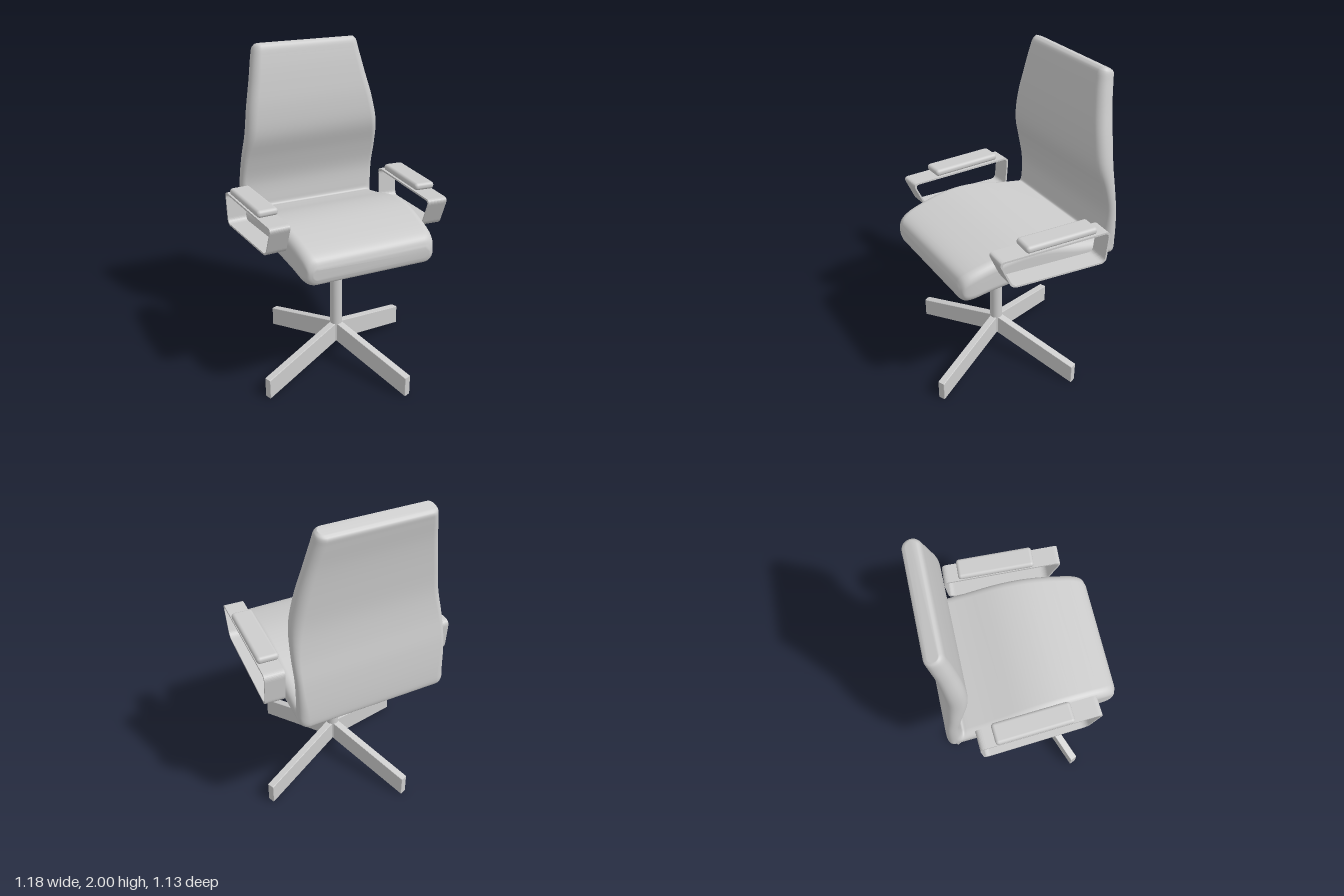
import * as THREE from 'three';
import { RoundedBoxGeometry } from 'three/addons/geometries/RoundedBoxGeometry.js';

const material = new THREE.MeshStandardMaterial({ color: 0xcccccc });

function part(name, geometry, parent) {
  const mesh = new THREE.Mesh(geometry, material);
  mesh.name = name;
  parent.add(mesh);
  return mesh;
}

// Upholstery stations from seat front to back top:
// underside/rear (z, y), sitting side (z, y), half width, sideways shift
const stations = [
  [0.488, 0.885, 0.49, 0.945, 0.36, 0],
  [0.475, 0.85, 0.472, 0.99, 0.39, 0],
  [0.44, 0.839, 0.43, 1.02, 0.405, 0],
  [0.3, 0.855, 0.3, 1.055, 0.42, 0],
  [0.11, 0.868, 0.11, 1.077, 0.435, 0],
  [-0.07, 0.868, -0.07, 1.06, 0.445, 0],
  [-0.28, 0.855, -0.28, 1.0, 0.455, 0],
  [-0.5, 0.838, -0.43, 0.962, 0.46, 0],
  [-0.54, 0.836, -0.455, 0.956, 0.462, 0],
  [-0.556, 0.85, -0.463, 0.966, 0.462, 0],
  [-0.56, 0.92, -0.467, 1.0, 0.462, 0.003],
  [-0.542, 1.13, -0.472, 1.13, 0.462, 0.005],
  [-0.515, 1.29, -0.435, 1.29, 0.46, 0.012],
  [-0.5, 1.45, -0.386, 1.45, 0.445, 0.018],
  [-0.505, 1.61, -0.385, 1.61, 0.42, 0.012],
  [-0.52, 1.79, -0.405, 1.77, 0.382, 0.005],
  [-0.541, 1.92, -0.432, 1.92, 0.352, 0],
  [-0.545, 1.958, -0.449, 1.982, 0.34, 0],
  [-0.525, 1.977, -0.47, 1.998, 0.325, 0],
];

// Rounded rectangle outline, counterclockwise
function roundedRing(halfW, halfH, r, steps = 7) {
  const ring = [];
  for (let q = 0; q < 4; q++) {
    const sx = q === 0 || q === 3 ? 1 : -1, sy = q < 2 ? 1 : -1;
    for (let i = 0; i <= steps; i++) {
      const a = (q + i / steps) * Math.PI / 2;
      ring.push([sx * (halfW - r) + r * Math.cos(a), sy * (halfH - r) + r * Math.sin(a)]);
    }
  }
  return ring;
}

// One continuous shell lofted through the stations
function upholsteryGeometry() {
  const outer = new THREE.CatmullRomCurve3(stations.map(s => new THREE.Vector3(s[4], s[1], s[0])));
  const inner = new THREE.CatmullRomCurve3(stations.map(s => new THREE.Vector3(s[5], s[3], s[2])));
  const rows = (stations.length - 1) * 4, pos = [], index = [];
  let n = 0;
  for (let i = 0; i <= rows; i++) {
    const o = outer.getPoint(i / rows), p = inner.getPoint(i / rows);
    const d = Math.hypot(p.y - o.y, p.z - o.z);
    const ring = roundedRing(o.x, d / 2, Math.min(0.055, d * 0.46));
    n = ring.length;
    for (const [u, v] of ring) {
      const k = v / d + 0.5;
      pos.push(p.x + u, o.y + (p.y - o.y) * k, o.z + (p.z - o.z) * k);
    }
    if (i === rows) break;
    for (let j = 0; j < n; j++) {
      const a = i * n + j, b = i * n + (j + 1) % n;
      index.push(a, a + n, b, b, a + n, b + n);
    }
  }
  // End caps
  const last = rows * n;
  for (let j = 1; j < n - 1; j++) {
    index.push(0, j, j + 1, last, last + j + 1, last + j);
  }
  const g = new THREE.BufferGeometry();
  g.setAttribute('position', new THREE.Float32BufferAttribute(pos, 3));
  g.setIndex(index);
  g.computeVertexNormals();
  return g;
}

// Closed polygon with rounded corners
function roundedLoop(path, points, radius) {
  const v = points.map(p => new THREE.Vector2(...p));
  v.forEach((c, i) => {
    const toward = q => c.clone().add(q.clone().sub(c).setLength(radius));
    const a = toward(v[(i + 3) % 4]), b = toward(v[(i + 1) % 4]);
    if (i === 0) path.moveTo(a.x, a.y); else path.lineTo(a.x, a.y);
    path.quadraticCurveTo(c.x, c.y, b.x, b.y);
  });
  path.closePath();
  return path;
}

function armrest(side) {
  const arm = new THREE.Group();
  arm.name = side > 0 ? 'leftArmrest' : 'rightArmrest';
  // Flat band bent into a loop
  const shape = roundedLoop(new THREE.Shape(),
    [[0.35, 1.167], [-0.387, 1.13], [-0.37, 0.915], [0.265, 0.97]], 0.04);
  shape.holes.push(roundedLoop(new THREE.Path(),
    [[0.335, 1.155], [-0.375, 1.119], [-0.359, 0.927], [0.258, 0.981]], 0.034));
  const band = new THREE.ExtrudeGeometry(shape, { depth: 0.12, bevelEnabled: false, curveSegments: 8 });
  band.translate(0, 0, -0.06).rotateY(-Math.PI / 2);
  part('armBand', band, arm);
  // Cushioned pad
  const pad = part('armPad', new RoundedBoxGeometry(0.128, 0.044, 0.466, 4, 0.02), arm);
  pad.position.set(0, 1.174, -0.058);
  pad.rotation.x = -0.045;
  arm.position.x = side * 0.51;
  arm.rotation.y = -side * 0.055;
  return arm;
}

export function createModel() {
  const chair = new THREE.Group();
  chair.name = 'officeChair';

  part('seatAndBack', upholsteryGeometry(), chair);
  for (const side of [1, -1]) chair.add(armrest(side));

  const base = new THREE.Group();
  base.name = 'base';
  base.position.set(-0.015, 0, 0.005);
  chair.add(base);

  // Telescopic column: radius, bottom, top
  [['column', 0.039, 0.15, 0.64], ['columnSleeve', 0.058, 0.62, 0.75], ['columnCollar', 0.082, 0.74, 0.9]]
    .forEach(([name, r, y0, y1]) => {
      part(name, new THREE.CylinderGeometry(r, r, y1 - y0, 40), base).position.y = (y0 + y1) / 2;
    });

  // Four sloping blade legs
  const blade = new THREE.Shape([[0, 0.15], [0.596, 0.004], [0.596, 0.126], [0, 0.276]]
    .map(p => new THREE.Vector2(...p)));
  const legGeometry = new THREE.ExtrudeGeometry(blade, {
    depth: 0.038, bevelThickness: 0.004, bevelSize: 0.004, bevelSegments: 2,
  });
  legGeometry.translate(0, 0, -0.019);
  for (let i = 0; i < 4; i++) {
    part('leg' + (i + 1), legGeometry, base).rotation.y = THREE.MathUtils.degToRad(-67.5 + 90 * i);
  }
  return chair;
}
